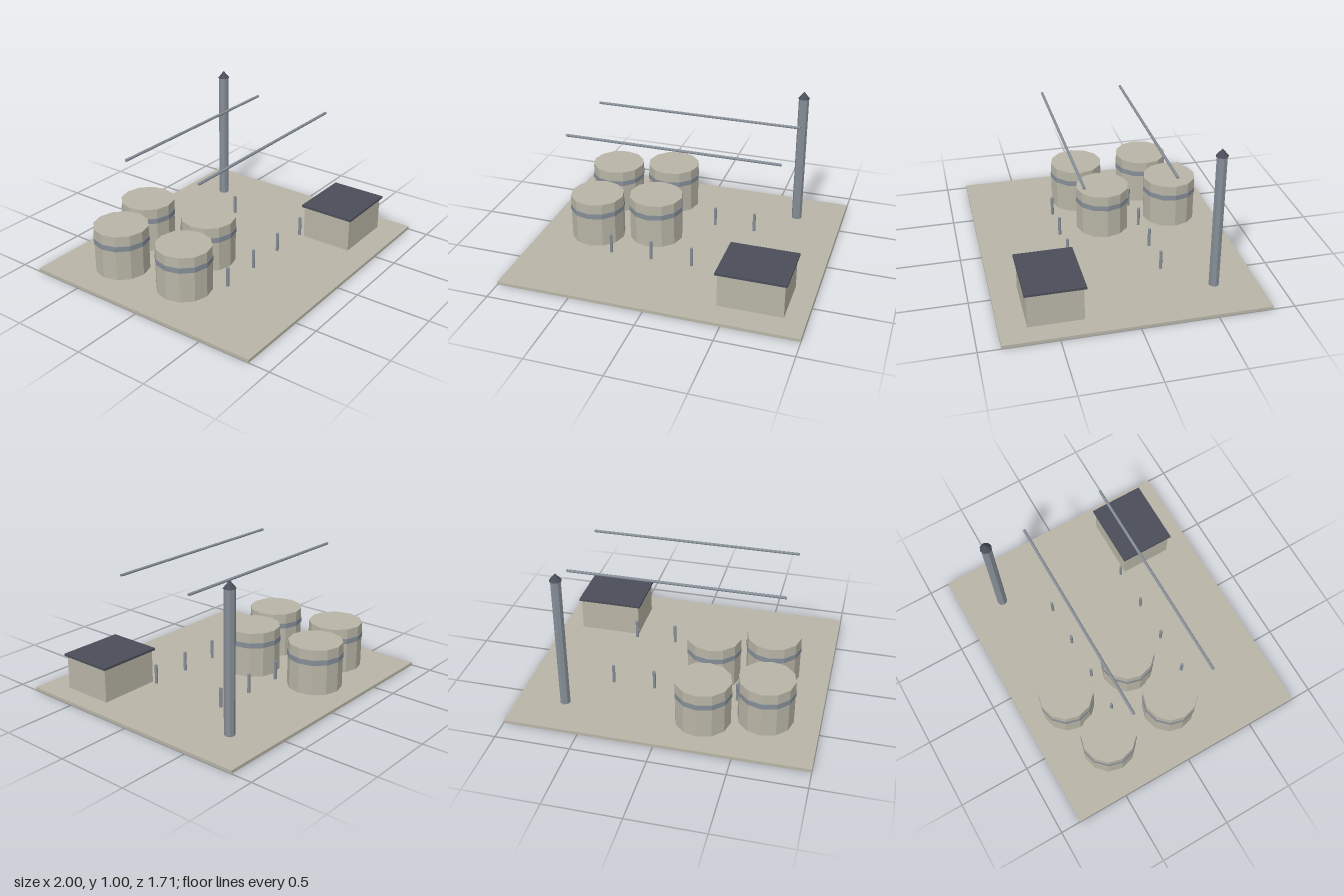
import * as THREE from 'three';

export function createModel() {
  const root = new THREE.Group();
  root.name = 'tankYard';

  const mat = (name, color) => {
    const m = new THREE.MeshStandardMaterial({ color, flatShading: true });
    m.name = name;
    return m;
  };
  const concrete = mat('paleConcrete', 0xb8b4a6);
  const steel = mat('blueGreySteel', 0x868e97);
  const slate = mat('darkSlate', 0x4a4e59);

  const add = (name, geometry, material, x, y, z, parent = root) => {
    const mesh = new THREE.Mesh(geometry, material);
    mesh.name = name;
    mesh.position.set(x, y, z);
    parent.add(mesh);
    return mesh;
  };
  // Box and cylinder placed by their bottom and top heights
  const box = (name, w, d, y0, y1, m, x, z, parent) =>
    add(name, new THREE.BoxGeometry(w, y1 - y0, d), m, x, (y0 + y1) / 2, z, parent);
  const cyl = (name, rTop, r, sides, y0, y1, m, x, z, parent) =>
    add(name, new THREE.CylinderGeometry(rTop, r, y1 - y0, sides), m, x, (y0 + y1) / 2, z, parent);

  const ground = 0.021;

  // Ground slab
  box('groundSlab', 2, 1.714, 0, ground, concrete, 0, 0);

  // Four storage tanks, each with a steel band
  for (const [x, z] of [[-0.643, -0.429], [-0.25, -0.536], [-0.607, 0.071], [-0.214, -0.036]]) {
    const tank = new THREE.Group();
    tank.name = 'storageTank';
    tank.position.set(x, 0, z);
    root.add(tank);
    cyl('tankBody', 0.185, 0.185, 12, ground, 0.338, concrete, 0, 0, tank);
    cyl('tankBand', 0.189, 0.189, 12, 0.232, 0.268, steel, 0, 0, tank);
  }

  // Two rows: an overhead pipe above four short posts
  for (const z of [-0.286, 0.286]) {
    const pipe = add('overheadPipe', new THREE.CylinderGeometry(0.0095, 0.0095, 1.428, 8), steel, 0, 0.858, z);
    pipe.rotation.z = Math.PI / 2;
    for (const x of [-0.429, -0.143, 0.143, 0.429]) {
      cyl('pipePost', 0.0107, 0.0107, 8, ground, 0.155, steel, x, z);
    }
  }

  // Chimney with a pointed cap
  cyl('chimney', 0.0355, 0.0355, 8, ground, 0.953, steel, 0.678, -0.572);
  add('chimneyCap', new THREE.ConeGeometry(0.041, 0.05, 8), slate, 0.678, 0.977, -0.572);

  // Control building with a flat overhanging roof
  box('buildingWalls', 0.429, 0.357, ground, 0.254, concrete, 0.643, 0.5);
  box('buildingRoof', 0.457, 0.386, 0.252, 0.268, slate, 0.643, 0.5);

  return root;
}
